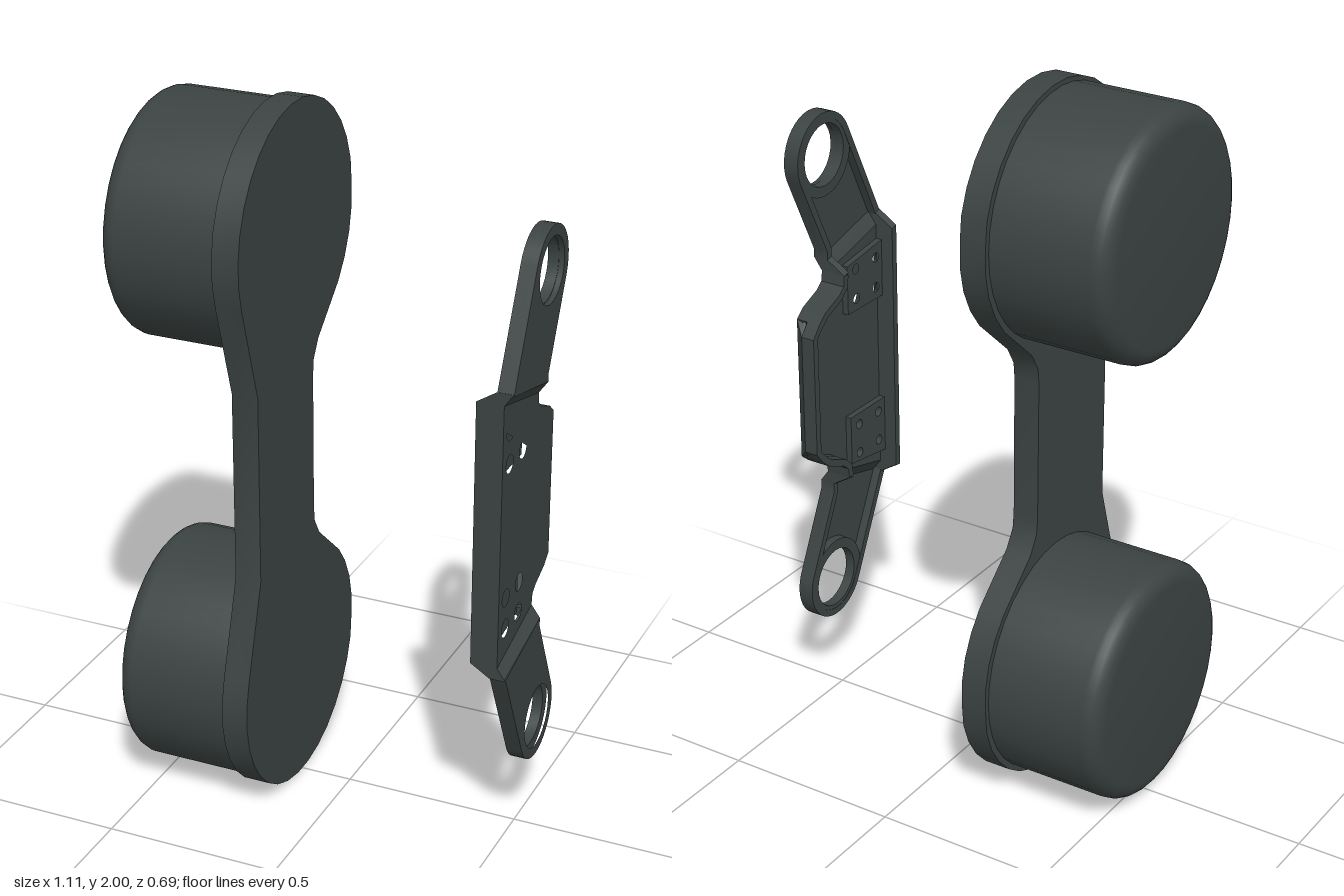
import * as THREE from 'three';
import { toCreasedNormals } from 'three/addons/utils/BufferGeometryUtils.js';
import { ConvexGeometry } from 'three/addons/geometries/ConvexGeometry.js';

const mat = new THREE.MeshStandardMaterial({ color: 0x3b4342 });
mat.name = 'dark grey';

// Profiles are [u, y] with u = -z, drawn as seen from +x.
const flip = (pts) => pts.map(([u, y]) => [u, 2 - y]);
const arc = (cu, cy, r, from, to, n) =>
  Array.from({ length: n + 1 }, (_, i) => {
    const a = THREE.MathUtils.degToRad(from + ((to - from) * i) / n);
    return [cu + r * Math.cos(a), cy + r * Math.sin(a)];
  });

// Slab between x0 and x1; holes are [u, y, radius]
function slab(pts, x0, x1, holes = []) {
  const shape = new THREE.Shape(pts.map(([u, y]) => new THREE.Vector2(u, y)));
  for (const [u, y, r] of holes) {
    const path = new THREE.Path();
    path.absarc(u, y, r, 0, Math.PI * 2, true);
    shape.holes.push(path);
  }
  const geo = new THREE.ExtrudeGeometry(shape, { depth: x1 - x0, bevelEnabled: false, curveSegments: 14 });
  geo.rotateY(Math.PI / 2).translate(x0, 0, 0);
  return toCreasedNormals(geo, 0.5);
}

// Closed ribbon of thickness t to the left of an open path
function ribbon(pts, t) {
  const inner = pts.map((p, i) => {
    const a = pts[Math.max(i - 1, 0)], b = pts[Math.min(i + 1, pts.length - 1)];
    const du = b[0] - a[0], dy = b[1] - a[1], l = Math.hypot(du, dy);
    return [p[0] - (dy / l) * t, p[1] + (du / l) * t];
  });
  return [...pts, ...inner.reverse()];
}

// Convex solid from [x, u, y] corners
const hull = (pts) => new ConvexGeometry(pts.map(([x, u, y]) => new THREE.Vector3(x, y, -u)));

export function createModel() {
  const model = new THREE.Group();
  const cover = new THREE.Group();
  cover.name = 'cover';
  const bracket = new THREE.Group();
  bracket.name = 'bracket';
  model.add(cover, bracket);
  const add = (parent, geo, name) => {
    const mesh = new THREE.Mesh(geo, mat);
    mesh.name = name;
    parent.add(mesh);
    return mesh;
  };

  // Dumbbell shaped base plate
  const half = [
    [0.09, 1.2], [0.095, 1.245], [0.125, 1.295],
    ...arc(0, 1.65, 0.35, -54, 198, 22).map(([u, y]) => [Math.min(u, 0.345), y]),
    [-0.25, 1.27],
  ];
  add(cover, slab([...half, ...flip(half).reverse()], -0.225, -0.15), 'basePlate');

  // Two round housings with a softened rim
  const profile = [[0.336, 0.22], ...arc(0.286, 0.508, 0.05, 0, 90, 6), [0, 0.558]]
    .map(([r, h]) => new THREE.Vector2(r, h));
  for (const y of [0.35, 1.65]) {
    const geo = new THREE.LatheGeometry(profile, 36).rotateZ(Math.PI / 2);
    add(cover, toCreasedNormals(geo, 0.5), 'housing').position.set(0, y, 0.005);
  }

  // Middle panel of the bracket with screw holes
  const ear = [[0, 1.31], [0.004, 1.28], [0.025, 1.262], [0.09, 1.235], [0.12, 1.21]];
  const screws = [];
  for (const u of [-0.2, -0.105]) for (const y of [1.285, 1.195, 0.81, 0.72]) screws.push([u, y]);
  const panel = [[-0.25, 1.375], ...ear];
  add(bracket, slab([...panel, ...flip(panel).reverse()], 0.51, 0.53,
    screws.map(([u, y]) => [u, y, 0.025])), 'middlePanel');

  // Side walls of the middle panel
  add(bracket, slab([[-0.25, 0.625], [-0.23, 0.63], [-0.23, 1.37], [-0.25, 1.375]], 0.455, 0.52), 'frontWall');
  const edge = [...ear, [0.148, 1.175]];
  add(bracket, slab(ribbon([...flip(edge), ...[...edge].reverse()], 0.02), 0.455, 0.495), 'backWall');

  // Chamfered rear lip
  const lip = [];
  for (const s of [-1, 1]) {
    for (const [x, u, h] of [[0.53, 0.12, 0.21], [0.51, 0.112, 0.21], [0.495, 0.148, 0.175], [0.48, 0.13, 0.175]]) {
      lip.push([x, u, 1 + s * h]);
    }
  }
  add(bracket, hull(lip), 'rearLip');

  for (const place of [(p) => p, flip]) {
    // Short upper wall beside the lip
    add(bracket, slab(place(ribbon([...ear].reverse(), 0.02)), 0.49, 0.515), 'cornerWall');

    // Raised pad behind each group of screws
    const pad = [[-0.24, 1.33], [-0.065, 1.305], [-0.065, 1.16], [-0.24, 1.16]];
    add(bracket, slab(place(pad), 0.492, 0.512,
      place([[-0.2, 1.285], [-0.105, 1.285], [-0.2, 1.195], [-0.105, 1.195]])
        .map(([u, y]) => [u, y, 0.014])), 'screwPad');

    // Arm with rounded end and large eye
    const arm = [[0, 1.345], [0, 1.37], ...arc(0, 1.65, 0.12, -23, 155, 18), [-0.25, 1.405]];
    const [eye] = place([[0, 1.65]]);
    add(bracket, slab(place(arm), 0.535, 0.555, [[...eye, 0.09]]), 'arm');
    add(bracket, slab(place(ribbon(arm, 0.02)), 0.51, 0.54), 'armWall');
    add(bracket, slab(arc(...eye, 0.118, 0, 350, 35), 0.511, 0.54, [[...eye, 0.088]]), 'eyeRing');

    // Sloped step joining arm and middle panel
    const step = (u0, u1, low, high) => {
      const pts = [];
      for (const u of [u0, u1]) {
        const drop = (u + 0.25) * 0.26;
        for (const x of low) pts.push([x, u, 1.375 - drop]);
        for (const x of high) pts.push([x, u, 1.41 - drop]);
      }
      return hull(pts.map(([x, u, y]) => [x, ...place([[u, y]])[0]]));
    };
    add(bracket, step(-0.25, 0, [0.51, 0.53], [0.535, 0.555]), 'step');
    add(bracket, step(-0.25, -0.23, [0.455, 0.53], [0.51, 0.555]), 'stepFrontWall');
    add(bracket, step(-0.02, 0, [0.455, 0.53], [0.51, 0.555]), 'stepBackWall');
  }
  return model;
}
